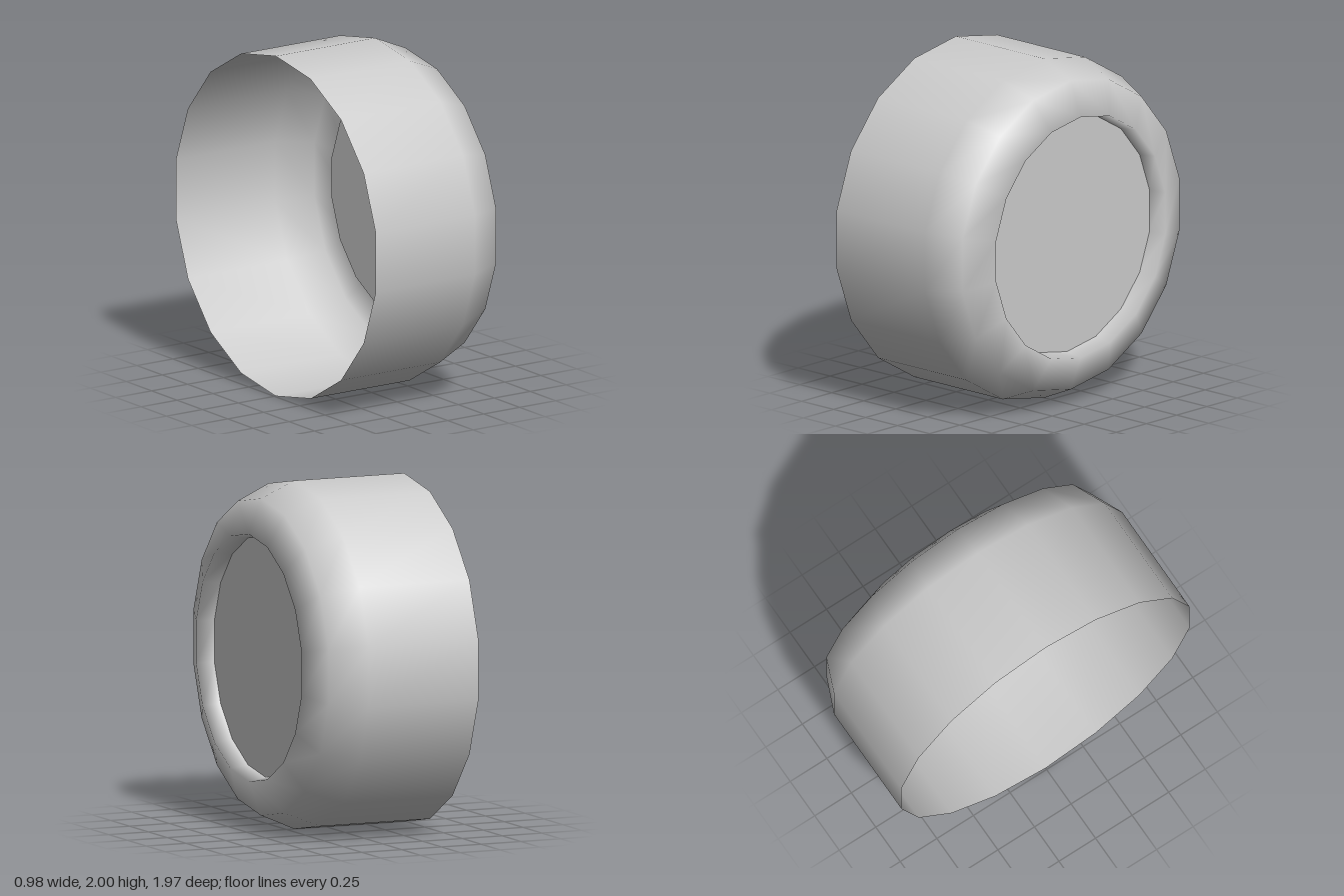
import * as THREE from 'three';

const SIDES = 18;

export function createModel() {
  const group = new THREE.Group();
  const material = new THREE.MeshStandardMaterial({ color: 0xcccccc, side: THREE.DoubleSide });

  // Open-backed shell: straight wall, rounded shoulder, lip folding inward (radius, position along x)
  const profile = [
    [1, -0.49], [1, 0.2], [0.91, 0.41], [0.71, 0.487], [0.693, 0.38],
  ].map(([r, x]) => new THREE.Vector2(r, x));
  const shellGeometry = new THREE.LatheGeometry(profile, SIDES, Math.PI / 2);
  shellGeometry.rotateZ(-Math.PI / 2);
  const shell = new THREE.Mesh(shellGeometry, material);
  shell.name = 'shell';

  // Flat disc closing the recess inside the lip
  const discGeometry = new THREE.CircleGeometry(0.693, SIDES, Math.PI / 2);
  discGeometry.rotateY(Math.PI / 2);
  const disc = new THREE.Mesh(discGeometry, material);
  disc.name = 'faceDisc';
  disc.position.x = 0.38;

  group.add(shell, disc);
  group.position.y = 1;
  group.name = 'roundHousing';

  const root = new THREE.Group();
  root.add(group);
  return root;
}
